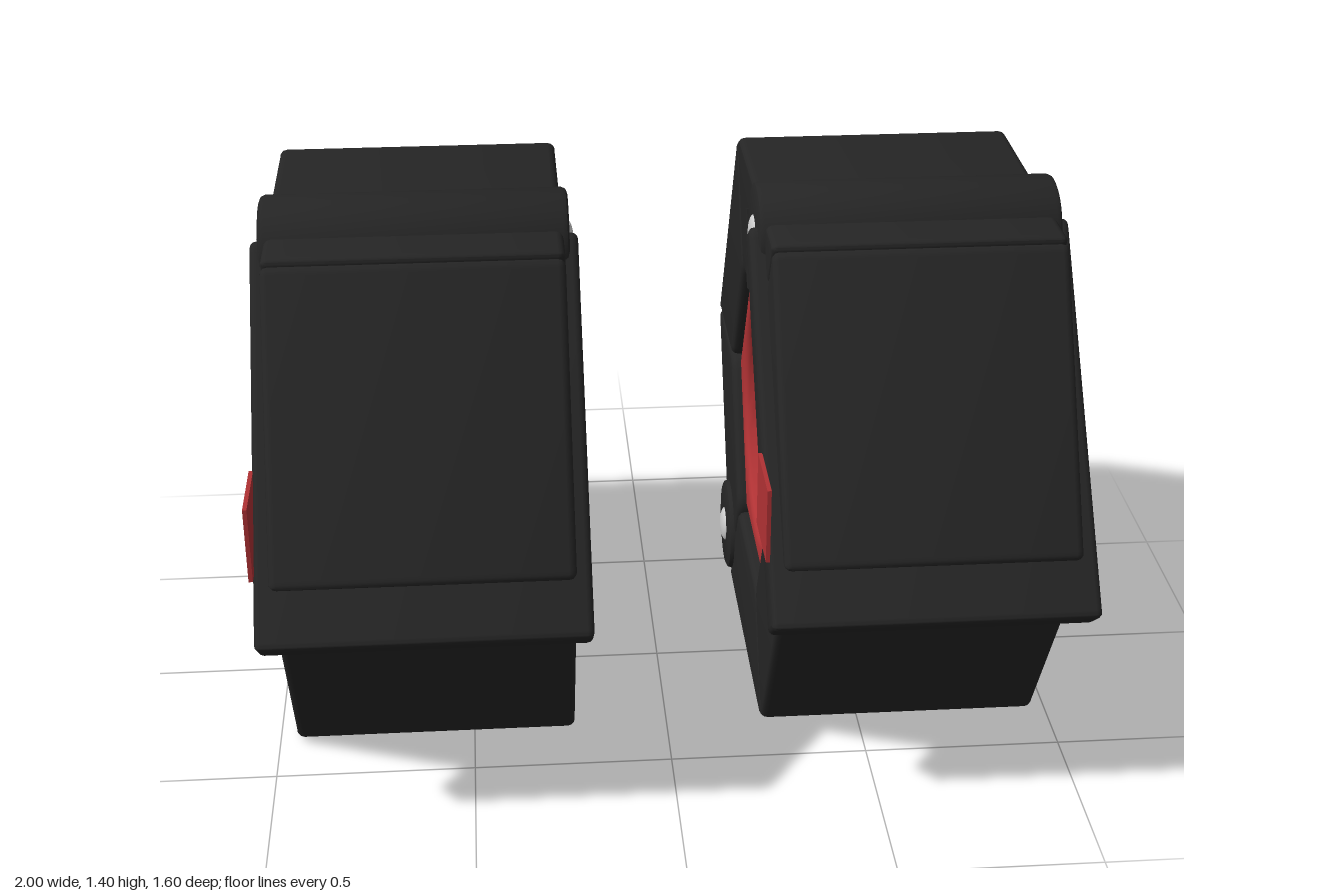
import * as THREE from 'three';
import { toCreasedNormals } from 'three/addons/utils/BufferGeometryUtils.js';

const black = new THREE.MeshStandardMaterial({ color: 0x252525 });
black.name = 'blackPlastic';
const red = new THREE.MeshStandardMaterial({ color: 0xb03234 });
red.name = 'redLining';
const steel = new THREE.MeshStandardMaterial({ color: 0xcccccc });
steel.name = 'steelPin';

// Side profiles use u = -z and y; the hexagon is centred here
const CU = 0.04, CY = 0.675;

function named(name, geometry, material) {
  const mesh = new THREE.Mesh(geometry, material);
  mesh.name = name;
  return mesh;
}

// Polygon whose corners are rounded by cutting t off each edge
function roundedShape(points, t) {
  const v = points.map(([x, y]) => new THREE.Vector2(x, y));
  const n = v.length;
  const toward = (a, b, d) => a.clone().add(b.clone().sub(a).setLength(d));
  const shape = new THREE.Shape();
  v.forEach((p, i) => {
    const a = toward(p, v[(i + n - 1) % n], t[i % t.length]);
    const b = toward(p, v[(i + 1) % n], t[i % t.length]);
    if (i === 0) shape.moveTo(a.x, a.y);
    else shape.lineTo(a.x, a.y);
    shape.quadraticCurveTo(p.x, p.y, b.x, b.y);
  });
  shape.closePath();
  return shape;
}

// Extrude a side profile across x, centred, with rounded rims
function slab(shape, width, bevel) {
  const g = new THREE.ExtrudeGeometry(shape, {
    depth: width - 2 * bevel, curveSegments: 6, bevelEnabled: true,
    bevelThickness: bevel, bevelSize: bevel, bevelOffset: -bevel, bevelSegments: 3,
  });
  g.translate(0, 0, -width / 2 + bevel);
  g.rotateY(Math.PI / 2);
  return toCreasedNormals(g, 0.6);
}

// Cylinder along x with rounded rims
function barrel(radius, width) {
  const h = width / 2, b = 0.015;
  const pts = [[0, -h], [radius - b, -h], [radius - b * 0.3, -h + b * 0.3], [radius, -h + b],
    [radius, h - b], [radius - b * 0.3, h - b * 0.3], [radius - b, h], [0, h]];
  const g = new THREE.LatheGeometry(pts.map(([x, y]) => new THREE.Vector2(x, y)), 40);
  g.rotateZ(-Math.PI / 2);
  return toCreasedNormals(g, 0.6);
}

function hexPoint(radius, i) {
  const a = i * Math.PI / 3;
  return [CU + radius * Math.cos(a), CY + radius * Math.sin(a)];
}

function buildCollar() {
  const collar = new THREE.Group();

  // Six wedge segments around the ring
  for (let i = 0; i < 6; i++) {
    const wedge = roundedShape(
      [hexPoint(0.424, i), hexPoint(0.774, i), hexPoint(0.774, i + 1), hexPoint(0.424, i + 1)],
      [0.04, 0.032, 0.032, 0.04]);
    collar.add(named('ringSegment', slab(wedge, 0.715, 0.018), black));
  }

  // Hexagonal lining with a round bore
  const lining = new THREE.Shape([0, 1, 2, 3, 4, 5].map(i => new THREE.Vector2(...hexPoint(0.425, i))));
  const bore = new THREE.Path();
  bore.absarc(CU, CY, 0.302, 0, Math.PI * 2, true);
  lining.holes.push(bore);
  const liningGeometry = new THREE.ExtrudeGeometry(lining, {
    depth: 0.62, curveSegments: 32, bevelEnabled: true,
    bevelThickness: 0.025, bevelSize: 0.025, bevelOffset: -0.025, bevelSegments: 4,
  });
  liningGeometry.translate(0, 0, -0.31);
  liningGeometry.rotateY(Math.PI / 2);
  collar.add(named('lining', toCreasedNormals(liningGeometry, 0.6), red));

  // Hinge barrels with domed pin heads
  for (const [name, y, z] of [['latchHinge', 1.28, 0.1], ['rearHinge', 0.15, -0.45]]) {
    const hinge = new THREE.Group();
    hinge.name = name;
    hinge.position.set(0, y, z);
    hinge.add(named('hingeBarrel', barrel(0.128, 0.745), black));
    for (const side of [-1, 1]) {
      const head = named('pinHead', new THREE.SphereGeometry(0.048, 24, 16), steel);
      head.scale.x = 0.33;
      head.position.x = side * 0.37;
      hinge.add(head);
    }
    collar.add(hinge);
  }

  // Slanted latch plate
  const latch = roundedShape(
    [[-0.804, 0.569], [-0.722, 0.504], [-0.112, 1.28], [-0.178, 1.338]],
    [0.018, 0.018, 0.035, 0.035]);
  collar.add(named('latchPlate', slab(latch, 0.787, 0.016), black));

  // Slanted rib on both sides of the top segment
  for (const side of [-1, 1]) {
    const rib = named('sideRib', new THREE.BoxGeometry(0.02, 0.205, 0.042), black);
    rib.position.set(side * 0.355, 1.16, -0.09);
    rib.rotation.x = -0.33;
    collar.add(rib);
  }

  // Pull tab beside the latch
  const tab = named('pullTab', new THREE.BoxGeometry(0.01, 0.19, 0.19), red);
  tab.position.set(-0.396, 0.797, 0.618);
  collar.add(tab);
  return collar;
}

export function createModel() {
  const model = new THREE.Group();
  model.name = 'collarPair';
  const right = buildCollar();
  right.name = 'rightCollar';
  right.position.x = -0.598;
  const left = buildCollar();
  left.name = 'leftCollar';
  left.position.x = 0.603;
  model.add(right, left);
  return model;
}
